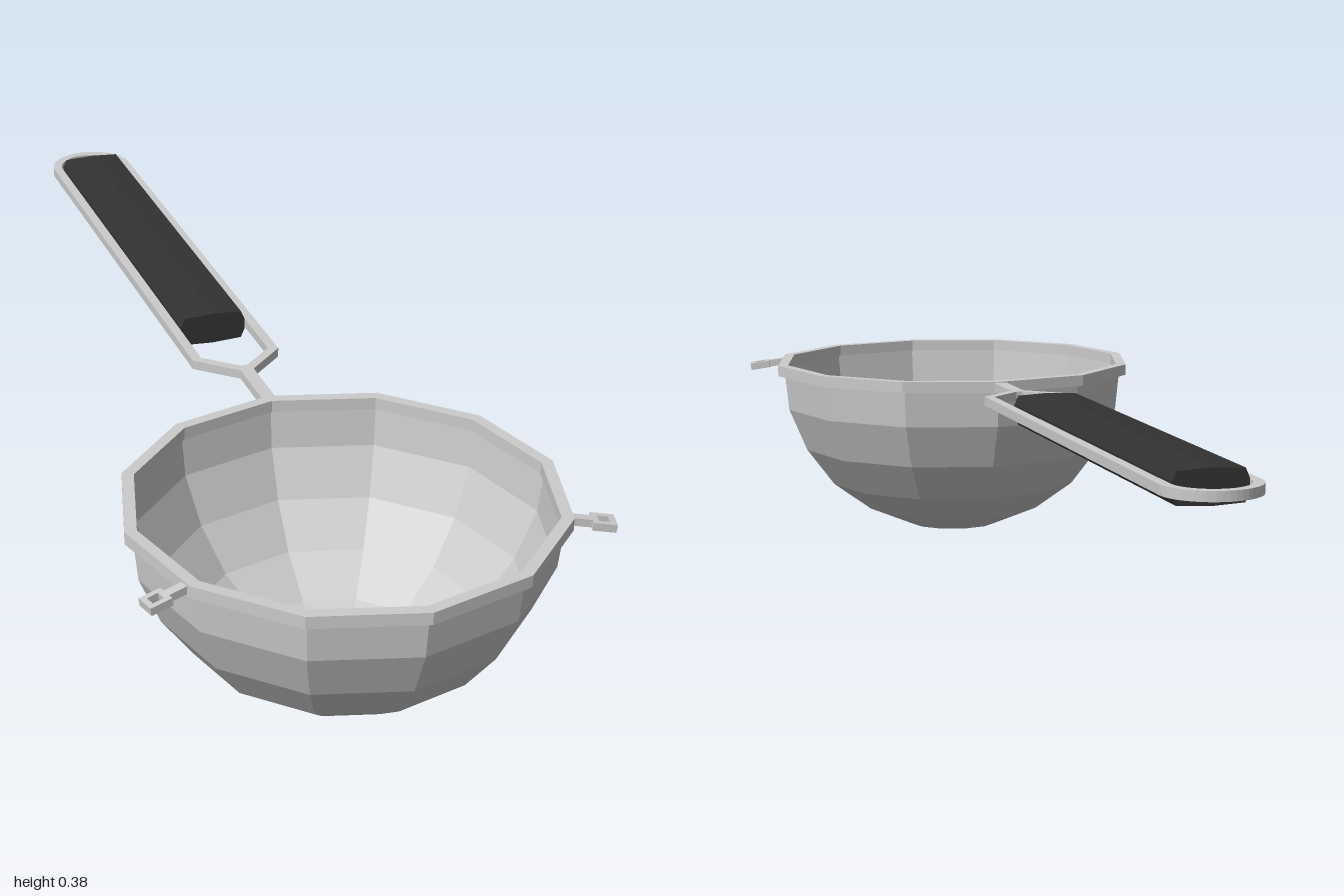
import * as THREE from 'three';

const BOWL_Z = 0.62;
const SIDES = 12;

function material(color, side = THREE.FrontSide) {
  return new THREE.MeshStandardMaterial({ color, flatShading: true, side });
}

function addMesh(parent, name, geometry, mat) {
  const mesh = new THREE.Mesh(geometry, mat);
  mesh.name = name;
  parent.add(mesh);
  return mesh;
}

const toPoints = (list) => list.map(([x, y]) => new THREE.Vector2(x, y));

// Lays an outline drawn in (x, -z) flat and gives it thickness in y
function flatPlate(shape, thickness) {
  const geometry = new THREE.ExtrudeGeometry(shape, { depth: thickness, bevelEnabled: false, curveSegments: 12 });
  return geometry.rotateX(-Math.PI / 2);
}

// One closed loop of the handle frame: V-shaped fork, straight sides, rounded end
function frameLoop(path, halfWidth, forkZ, shoulderZ, neckHalf) {
  path.lineTo(neckHalf, -forkZ);
  path.lineTo(halfWidth, -shoulderZ);
  path.lineTo(halfWidth, 0.917);
  path.absarc(0, 0.917, halfWidth, 0, Math.PI, false);
  path.lineTo(-halfWidth, -shoulderZ);
  path.lineTo(-neckHalf, -forkZ);
  path.closePath();
}

export function createModel() {
  const model = new THREE.Group();
  model.name = 'strainer';
  const steel = material(0xcccccc);
  const thinSteel = material(0xcccccc, THREE.DoubleSide);

  // Thin faceted bowl
  const bowlProfile = toPoints([
    [0, 0.003], [0.095, 0.016], [0.182, 0.052], [0.26, 0.109],
    [0.317, 0.185], [0.354, 0.272], [0.362, 0.35],
  ]);
  addMesh(model, 'bowl', new THREE.LatheGeometry(bowlProfile, SIDES), thinSteel).position.z = BOWL_Z;

  // Rim band around the bowl's mouth
  const rimProfile = toPoints([
    [0.355, 0.344], [0.376, 0.344], [0.376, 0.366], [0.355, 0.366], [0.355, 0.344],
  ]);
  addMesh(model, 'rim', new THREE.LatheGeometry(rimProfile, SIDES), steel).position.z = BOWL_Z;

  // Handle frame with its neck running to the rim
  const frame = new THREE.Shape();
  frame.moveTo(-0.0125, -0.26);
  frame.lineTo(0.0125, -0.26);
  frameLoop(frame, 0.083, 0.13, 0.065, 0.0125);
  const opening = new THREE.Path();
  opening.moveTo(0, -0.112);
  frameLoop(opening, 0.065, 0.112, 0.058, 0.006);
  frame.holes.push(opening);
  addMesh(model, 'handleFrame', flatPlate(frame, 0.017), steel).position.y = 0.347;

  // Dark grip with chamfered edges and slightly crowned faces
  const section = new THREE.Shape(toPoints([
    [0.063, -0.011], [0.063, 0.011], [0.056, 0.027], [0, 0.03], [-0.056, 0.027],
    [-0.063, 0.011], [-0.063, -0.011], [-0.056, -0.027], [0, -0.03], [0.056, -0.027],
  ]));
  const gripGeometry = new THREE.ExtrudeGeometry(section, { depth: 0.85, bevelEnabled: false });
  addMesh(model, 'grip', gripGeometry, material(0x333333)).position.set(0, 0.356, -0.92);

  // Resting hooks: a short stem ending in a small square loop
  const hook = new THREE.Shape(toPoints([
    [0, -0.008], [0.037, -0.008], [0.037, -0.018], [0.077, -0.018],
    [0.077, 0.018], [0.037, 0.018], [0.037, 0.008], [0, 0.008],
  ]));
  hook.holes.push(new THREE.Path(toPoints([
    [0.047, -0.009], [0.047, 0.009], [0.067, 0.009], [0.067, -0.009],
  ])));
  for (const side of [1, -1]) {
    const geometry = flatPlate(hook, 0.014);
    // Tip slopes down, then swings toward the front
    geometry.translate(0, -0.007, 0).rotateZ(-0.15).rotateY(-0.25);
    if (side < 0) geometry.rotateY(Math.PI + 0.5);
    const name = side > 0 ? 'leftHook' : 'rightHook';
    addMesh(model, name, geometry, steel).position.set(side * 0.325, 0.355, 0.79);
  }

  return model;
}
